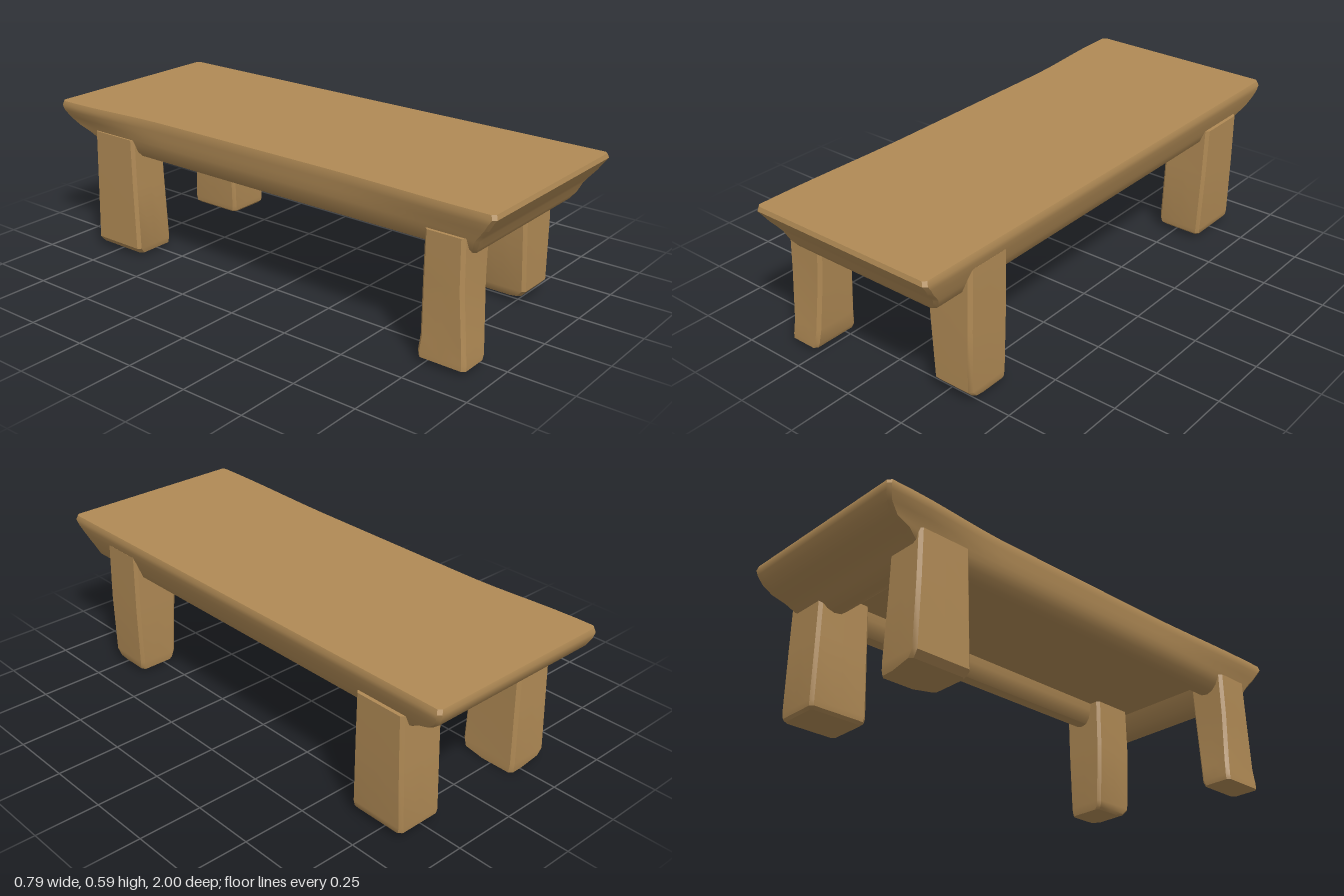
import * as THREE from 'three';
import { toCreasedNormals } from 'three/addons/utils/BufferGeometryUtils.js';

const smooth = THREE.MathUtils.smoothstep;

// One chamfered rectangular ring, counterclockwise from above.
function ring([y, x0, x1, z0, z1], c, n) {
  const sides = [
    [[x0, z0 + c], [x0, z1 - c]], [[x0 + c, z1], [x1 - c, z1]],
    [[x1, z1 - c], [x1, z0 + c]], [[x1 - c, z0], [x0 + c, z0]],
  ];
  const points = [];
  for (const [a, b] of sides) {
    for (let i = 0; i <= n; i++) {
      const t = i / n;
      points.push(new THREE.Vector3(a[0] + (b[0] - a[0]) * t, y, a[1] + (b[1] - a[1]) * t));
    }
  }
  return points;
}

// Skin a stack of rings [y, x0, x1, z0, z1] from the top down, closed at both ends.
function loft(levels, chamfer, n, warp) {
  const rings = levels.map((level) => ring(level, chamfer, n));
  if (warp) rings.flat().forEach(warp);
  const count = rings[0].length;
  const pos = [];
  const tri = (...pts) => pts.forEach((p) => pos.push(p.x, p.y, p.z));
  const centre = (r) => r.reduce((s, p) => s.add(p), new THREE.Vector3()).divideScalar(count);
  const top = rings[0], end = rings[rings.length - 1];
  const topMid = centre(top), endMid = centre(end);
  for (let i = 0; i < count; i++) {
    const j = (i + 1) % count;
    tri(topMid, top[i], top[j]);
    tri(endMid, end[j], end[i]);
    for (let k = 0; k < rings.length - 1; k++) {
      const a = rings[k], b = rings[k + 1];
      tri(a[i], b[i], b[j]);
      tri(a[i], b[j], a[j]);
    }
  }
  const geometry = new THREE.BufferGeometry();
  geometry.setAttribute('position', new THREE.Float32BufferAttribute(pos, 3));
  return toCreasedNormals(geometry, 0.6);
}

// Flare the right-hand edge of the top towards both ends.
function flareEdge(p) {
  const flare = 0.028 * smooth(-p.z, 0.45, 0.93) + 0.015 * smooth(p.z, 0.3, 0.9);
  if (p.x < 0) p.x += flare * (p.x / 0.37) * smooth(p.y, 0.49, 0.57);
}

export function createModel() {
  const model = new THREE.Group();
  const wood = new THREE.MeshStandardMaterial({ color: 0xb08a55 });
  const add = (name, geometry) => {
    const mesh = new THREE.Mesh(geometry, wood);
    mesh.name = name;
    model.add(mesh);
  };

  // Top slab, undercut edge, rounded rails and the hollow underneath
  add('benchTop', loft([
    [0.592, -0.366, 0.385, -0.995, 0.995],
    [0.575, -0.37, 0.391, -1.0, 1.0],
    [0.555, -0.368, 0.388, -0.995, 0.985],
    [0.525, -0.366, 0.378, -0.98, 0.965],
    [0.495, -0.362, 0.368, -0.945, 0.94],
    [0.475, -0.357, 0.36, -0.89, 0.925],
    [0.44, -0.342, 0.345, -0.84, 0.91],
    [0.418, -0.32, 0.32, -0.81, 0.895],
    [0.41, -0.295, 0.295, -0.78, 0.875],
    [0.415, -0.268, 0.268, -0.75, 0.85],
    [0.435, -0.25, 0.25, -0.725, 0.825],
    [0.47, -0.24, 0.24, -0.71, 0.81],
    [0.5, -0.235, 0.235, -0.7, 0.8],
  ], 0.012, 24, flareEdge));

  // Hewn legs, each with its own slightly uneven taper
  const legs = {
    frontLeftLeg: [
      [0.53, 0.19, 0.38, 0.6, 0.785],
      [0.3, 0.193, 0.38, 0.605, 0.795],
      [0.055, 0.208, 0.375, 0.61, 0.797],
      [0.03, 0.215, 0.373, 0.613, 0.775],
      [0.02, 0.225, 0.368, 0.615, 0.74],
    ],
    frontRightLeg: [
      [0.48, -0.37, -0.21, 0.73, 0.885],
      [0.3, -0.374, -0.222, 0.73, 0.89],
      [0.1, -0.373, -0.237, 0.728, 0.905],
      [0.04, -0.378, -0.245, 0.722, 0.912],
      [0.02, -0.378, -0.255, 0.725, 0.912],
    ],
    backLeftLeg: [
      [0.49, 0.19, 0.38, -0.84, -0.625],
      [0.3, 0.188, 0.379, -0.843, -0.62],
      [0.05, 0.185, 0.374, -0.848, -0.612],
      [0.03, 0.188, 0.372, -0.845, -0.615],
      [0.02, 0.2, 0.365, -0.835, -0.625],
    ],
    backRightLeg: [
      [0.49, -0.368, -0.205, -0.84, -0.625],
      [0.3, -0.372, -0.203, -0.843, -0.62],
      [0.04, -0.375, -0.198, -0.85, -0.612],
      [0.015, -0.355, -0.197, -0.848, -0.62],
      [0.0, -0.27, -0.198, -0.845, -0.7],
    ],
  };
  for (const [name, levels] of Object.entries(legs)) add(name, loft(levels, 0.012, 2));

  return model;
}
